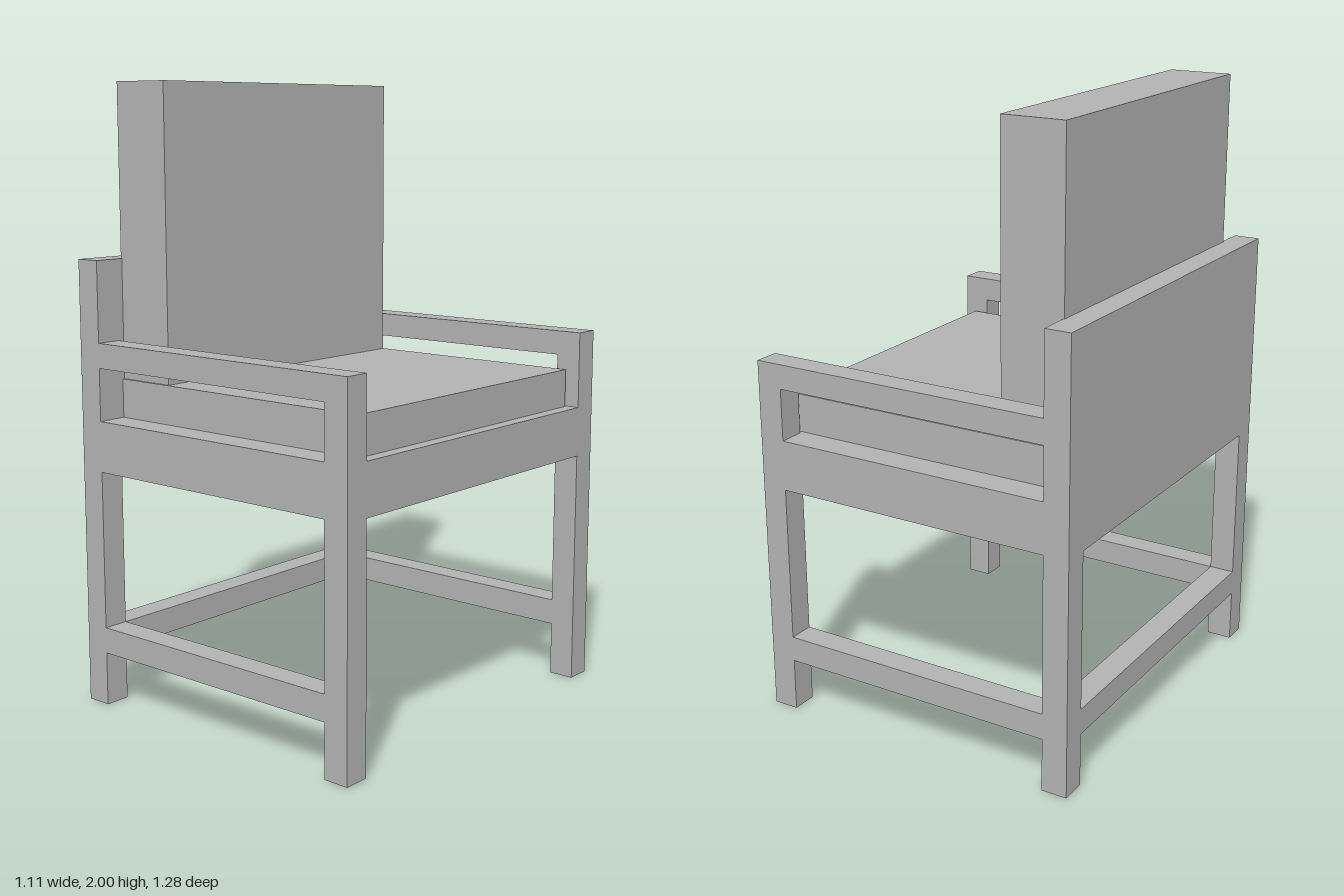
import * as THREE from 'three';

export function createModel() {
  const chair = new THREE.Group();
  chair.name = 'armchair';
  const grey = new THREE.MeshStandardMaterial({ color: 0xb2b2b2 });
  grey.name = 'plain grey';

  // Outer half sizes, and inner faces of the square posts
  const X = 0.553, Z = 0.638, XI = 0.468, ZI = 0.553;

  // Box given by its extents on each axis
  function block(name, [x0, x1], [y0, y1], [z0, z1]) {
    const mesh = new THREE.Mesh(new THREE.BoxGeometry(x1 - x0, y1 - y0, z1 - z0), grey);
    mesh.position.set((x0 + x1) / 2, (y0 + y1) / 2, (z0 + z1) / 2);
    mesh.name = name;
    chair.add(mesh);
  }

  // Seat frame, and the solid panel behind it; the seat faces +x
  block('seatFrame', [-X, X], [0.775, 0.94], [-Z, Z]);
  block('backPanel', [-X, -XI], [0.94, 1.45], [-Z, Z]);

  // Legs, arms and side stretchers, mirrored across z
  for (const side of [1, -1]) {
    const name = side > 0 ? 'left' : 'right';
    const depth = side > 0 ? [ZI, Z] : [-Z, -ZI];
    block(name + 'RearLeg', [-X, -XI], [0, 0.775], depth);
    block(name + 'FrontLeg', [XI, X], [0, 0.775], depth);
    block(name + 'ArmPost', [XI, X], [0.94, 1.19], depth);
    block(name + 'ArmRail', [-XI, XI], [1.11, 1.19], depth);
    block(name + 'Stretcher', [-XI, XI], [0.175, 0.26], depth);
  }
  block('rearStretcher', [-X, -XI], [0.175, 0.26], [-ZI, ZI]);

  // Cushions
  block('seatCushion', [-0.472, 0.51], [0.94, 1.065], [-0.54, 0.54]);
  block('backCushion', [-0.472, -0.264], [1.065, 2], [-0.533, 0.533]);

  return chair;
}
